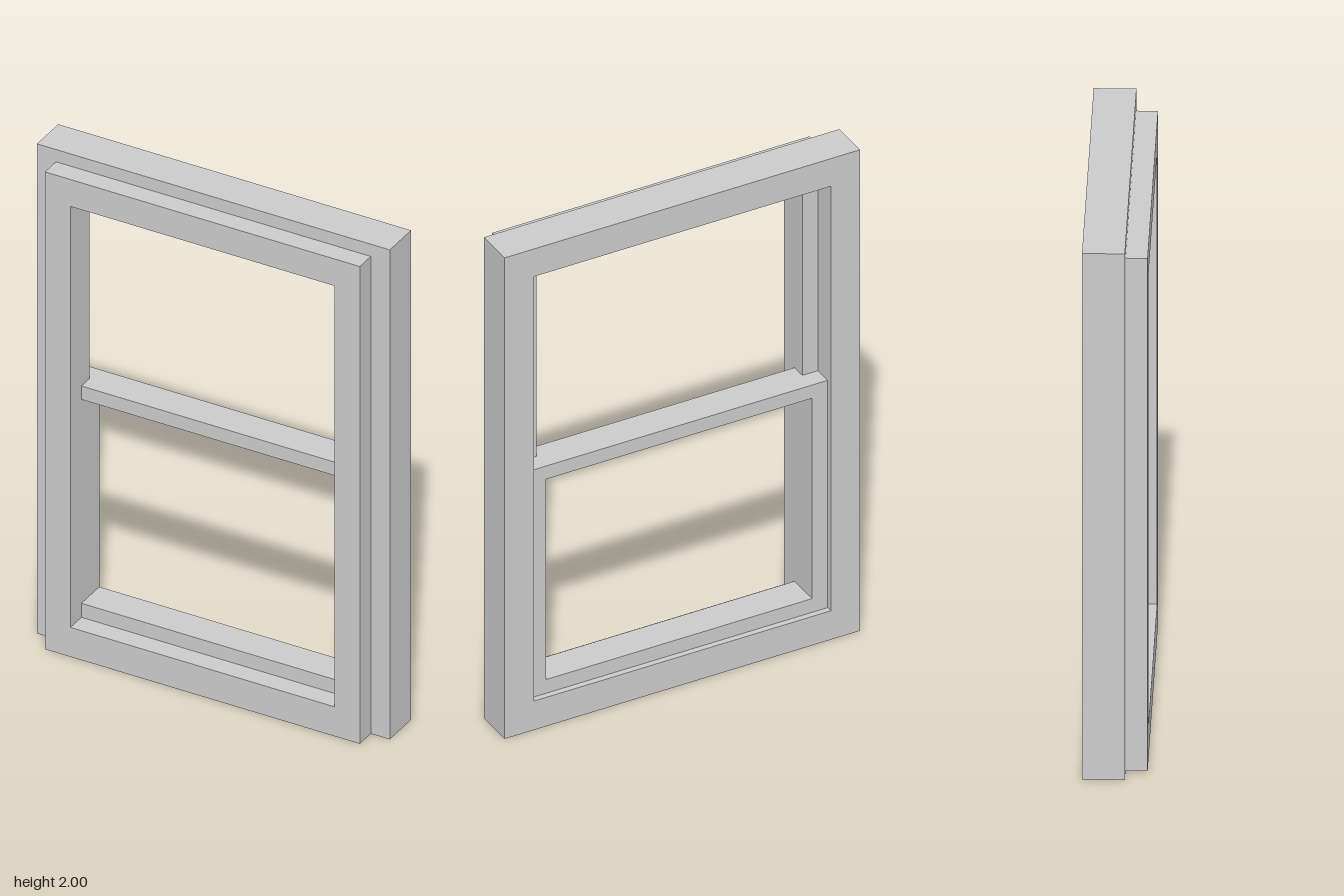
import * as THREE from 'three';

const material = new THREE.MeshStandardMaterial({ color: 0xcccccc, flatShading: true });

// Extrudes an outline, with optional hole, from z0 to z1
function slab(name, outline, hole, z0, z1) {
  const toPoints = (list) => list.map(([x, y]) => new THREE.Vector2(x, y));
  const shape = new THREE.Shape(toPoints(outline));
  if (hole) shape.holes.push(new THREE.Path(toPoints(hole)));
  const geometry = new THREE.ExtrudeGeometry(shape, { depth: z1 - z0, bevelEnabled: false });
  geometry.translate(0, 0, z0);
  const mesh = new THREE.Mesh(geometry, material);
  mesh.name = name;
  return mesh;
}

// Rectangle centred on x = 0
const rect = (halfWidth, bottom, top) => [
  [-halfWidth, bottom], [halfWidth, bottom], [halfWidth, top], [-halfWidth, top],
];

export function createModel() {
  const group = new THREE.Group();
  group.name = 'sashWindow';

  const sill = 0.12;
  const pocket = 0.59, pocketTop = 1.885; // opening seen from the back
  const clear = 0.528, clearTop = 1.84;   // opening seen from the front
  const back = -0.113, step = 0.036, front = 0.113;

  // Main frame and the smaller casing in front of it
  group.add(slab('outerFrame', rect(0.706, 0, 2), rect(pocket, sill, pocketTop), back, step));
  group.add(slab('frontCasing', rect(0.63, 0, 1.95), rect(clear, sill, clearTop), step, front));

  // Stop strip around the sides and top of the pocket
  group.add(slab('stop', [
    [-pocket, sill], [-clear, sill], [-clear, clearTop], [clear, clearTop],
    [clear, sill], [pocket, sill], [pocket, pocketTop], [-pocket, pocketTop],
  ], null, -0.02, step));

  // Lower sash: stiles and rails, with the rails reaching forward between the stops
  group.add(slab('lowerSash', rect(pocket, sill, 1.065), rect(clear, 0.177, 1.01), -0.09, -0.02));
  group.add(slab('meetingRail', rect(clear, 1.01, 1.065), null, -0.02, step));
  group.add(slab('bottomRail', rect(clear, sill, 0.177), null, -0.02, step));

  return group;
}
